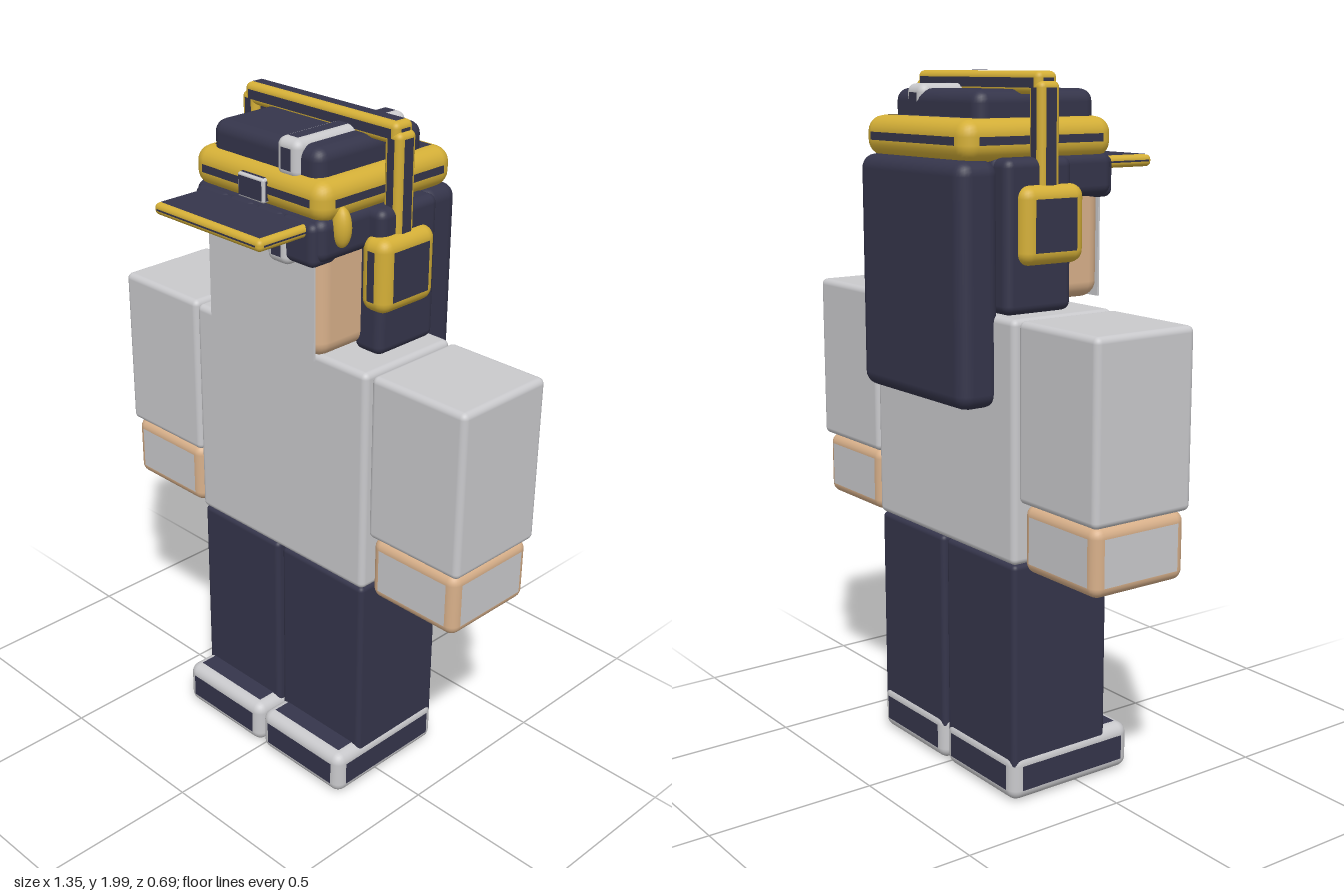
import * as THREE from 'three';
import { RoundedBoxGeometry } from 'three/addons/geometries/RoundedBoxGeometry.js';

export function createModel() {
  const model = new THREE.Group();
  model.name = 'blockFigure';

  const paint = (name, color) => {
    const m = new THREE.MeshStandardMaterial({ color });
    m.name = name;
    return m;
  };
  const grey = paint('light grey', 0xc9c9cc);
  const navy = paint('dark navy', 0x35354b);
  const gold = paint('gold', 0xd4af37);
  const tan = paint('skin tan', 0xd8b08a);

  // Rounded block given by its extents on each axis
  function block(name, [x0, x1], [y0, y1], [z0, z1], radius, material, parent = model) {
    const mesh = new THREE.Mesh(
      new RoundedBoxGeometry(x1 - x0, y1 - y0, z1 - z0, 3, radius), material);
    mesh.name = name;
    mesh.position.set((x0 + x1) / 2, (y0 + y1) / 2, (z0 + z1) / 2);
    parent.add(mesh);
    return mesh;
  }

  // Rounded block whose flat faces carry a second colour, leaving the rim visible
  function inlaidBlock(name, xs, ys, zs, radius, rim, inlay) {
    const group = new THREE.Group();
    group.name = name;
    model.add(group);
    const body = block(name + 'Rim', xs, ys, zs, radius, rim, group);
    const w = xs[1] - xs[0], h = ys[1] - ys[0], d = zs[1] - zs[0], r2 = radius * 2;
    const faces = [
      [w, h, d, 0, 0], [w, h, d, 0, Math.PI],
      [d, h, w, 0, Math.PI / 2], [d, h, w, 0, -Math.PI / 2],
      [w, d, h, Math.PI / 2, 0], [w, d, h, -Math.PI / 2, 0],
    ];
    for (const [fw, fh, depth, rx, ry] of faces) {
      if (fw - r2 < 0.004 || fh - r2 < 0.004) continue;
      const face = new THREE.Mesh(new THREE.PlaneGeometry(fw - r2, fh - r2), inlay);
      face.name = name + 'Inlay';
      face.rotation.set(rx, ry, 0);
      face.position.set(0, 0, depth / 2 + 0.0015).applyEuler(face.rotation).add(body.position);
      group.add(face);
    }
    return group;
  }

  // Extents mirrored to the chosen side
  const sided = (s, a, b) => (s > 0 ? [a, b] : [-b, -a]);

  // Body
  block('torso', [-0.34, 0.34], [0.7, 1.37], [-0.24, 0.097], 0.018, grey);
  for (const s of [1, -1]) {
    const side = s > 0 ? 'left' : 'right';
    block(side + 'Arm', sided(s, 0.35, 0.675), [0.88, 1.37], [-0.235, 0.09], 0.018, grey);
    inlaidBlock(side + 'Hand', sided(s, 0.36, 0.665), [0.69, 0.88], [-0.225, 0.083], 0.03, tan, grey);
    block(side + 'Leg', sided(s, 0.008, 0.335), [0.1, 0.7], [-0.235, 0.092], 0.015, navy);
    inlaidBlock(side + 'Shoe', sided(s, 0.003, 0.34), [0.008, 0.145], [-0.24, 0.18], 0.032, grey, navy);
  }

  // Head with a flat face plate
  block('head', [-0.22, 0.22], [1.385, 1.78], [-0.23, 0.152], 0.045, tan);
  const face = new THREE.Mesh(new THREE.BoxGeometry(0.41, 0.28, 0.006), grey);
  face.name = 'facePlate';
  face.position.set(0, 1.525, 0.153);
  model.add(face);

  // Hair: side locks, long back and a fringe of uneven locks
  for (const s of [1, -1]) {
    block('sideHair', sided(s, 0.19, 0.29), [1.37, 1.78], [-0.225, -0.005], 0.025, navy);
  }
  block('backHair', [-0.255, 0.255], [1.12, 1.775], [-0.345, -0.215], 0.04, navy);
  block('fringeBase', [-0.245, 0.245], [1.665, 1.785], [-0.23, 0.172], 0.03, navy);
  const locks = [[-0.23, -0.1, 1.66], [-0.105, 0.0, 1.648], [0.0, 0.11, 1.66], [0.1, 0.23, 1.654]];
  for (const [a, b, low] of locks) {
    block('fringeLock', [a, b], [low, 1.775], [0.09, 0.186], 0.022, navy);
  }

  // Cap: band, crown and brim
  inlaidBlock('capBand', [-0.25, 0.25], [1.768, 1.88], [-0.328, 0.172], 0.045, gold, navy);
  block('capCrown', [-0.205, 0.205], [1.83, 1.953], [-0.255, 0.14], 0.035, navy);
  inlaidBlock('capBrim', [-0.205, 0.205], [1.736, 1.769], [0.12, 0.345], 0.014, gold, navy);

  // Strap over the crown, its front end and the buckle
  inlaidBlock('crownStrap', [0.058, 0.143], [1.86, 1.966], [-0.255, 0.154], 0.024, grey, navy);
  inlaidBlock('frontStrap', [0.058, 0.143], [1.64, 1.755], [0.1, 0.191], 0.024, grey, navy);
  inlaidBlock('buckle', [-0.053, 0.047], [1.787, 1.852], [0.162, 0.184], 0.006, grey, navy);

  // Side knob on the cap
  const knob = new THREE.Mesh(new THREE.SphereGeometry(1, 20, 14), gold);
  knob.name = 'capKnob';
  knob.scale.set(0.028, 0.055, 0.025);
  knob.position.set(0.25, 1.757, 0.102);
  model.add(knob);

  // Headset
  inlaidBlock('headsetBar', [-0.285, 0.285], [1.94, 2.0], [-0.122, -0.054], 0.017, gold, navy);
  for (const s of [1, -1]) {
    inlaidBlock('headsetArm', sided(s, 0.24, 0.298), [1.65, 1.975], [-0.122, -0.054], 0.017, gold, navy);
    inlaidBlock('earCup', sided(s, 0.227, 0.322), [1.5, 1.71], [-0.19, 0.017], 0.035, gold, navy);
  }

  return model;
}
